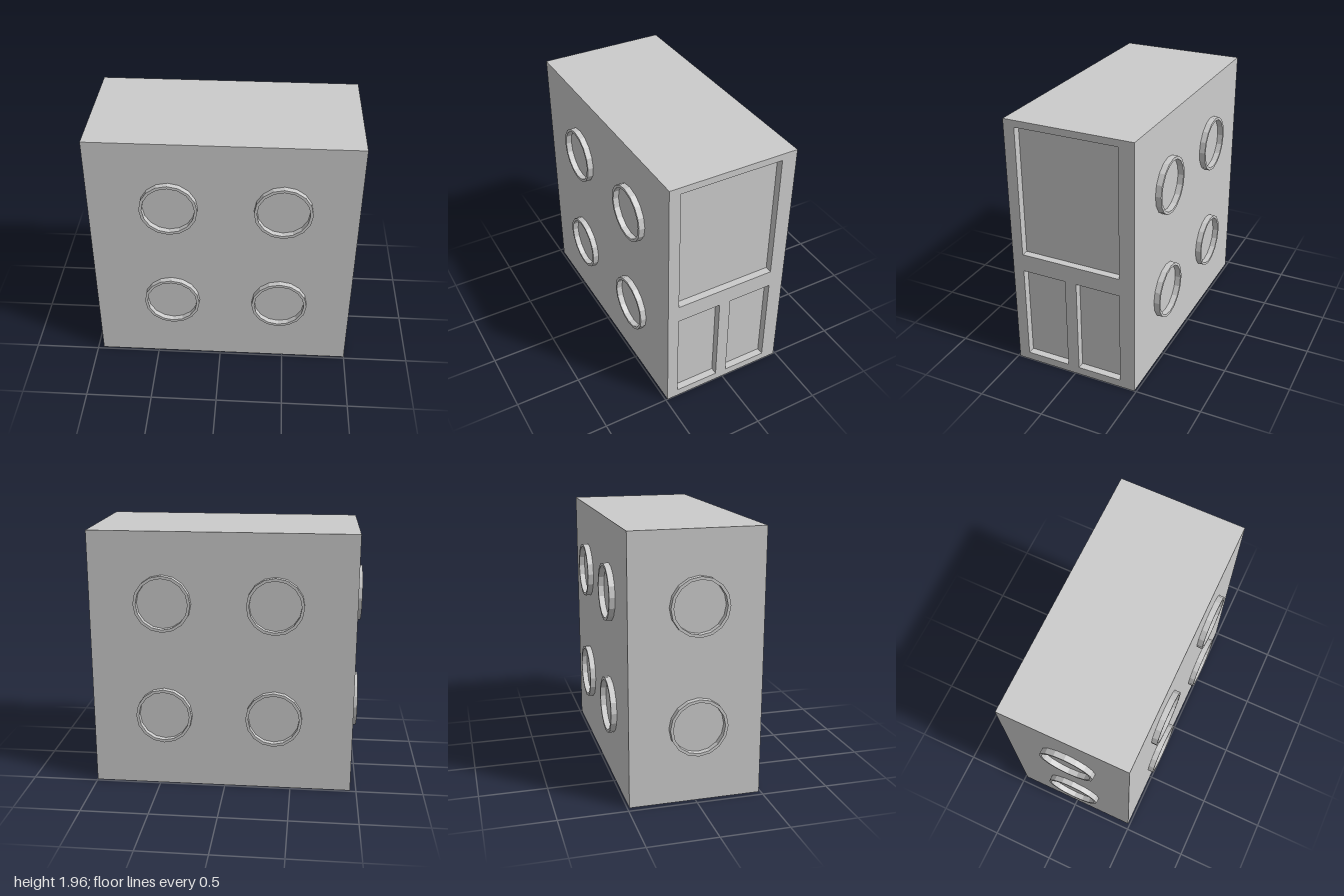
import * as THREE from 'three';

const material = new THREE.MeshStandardMaterial({ color: 0xcccccc, flatShading: true });

// House dimensions
const LEFT = -0.955, RIGHT = 1, HEIGHT = 1.955, HALF_DEPTH = 0.485;
const RECESS = 0.055, RIM = 0.043;

function mesh(name, geometry) {
  const m = new THREE.Mesh(geometry, material);
  m.name = name;
  return m;
}

function rectangle(x0, y0, x1, y1) {
  return [[x0, y0], [x1, y0], [x1, y1], [x0, y1]].map(([x, y]) => new THREE.Vector2(x, y));
}

function polygon(radius, sides) {
  return Array.from({ length: sides }, (_, i) => {
    const a = (i / sides) * Math.PI * 2;
    return new THREE.Vector2(Math.cos(a) * radius, Math.sin(a) * radius);
  });
}

function extrude(outline, holes, depth) {
  const shape = new THREE.Shape(outline);
  for (const hole of holes) shape.holes.push(new THREE.Path(hole));
  return new THREE.ExtrudeGeometry(shape, { depth, bevelEnabled: false });
}

export function createModel() {
  const group = new THREE.Group();

  // Solid block up to the back of the recessed panels
  const length = RIGHT - RECESS - LEFT;
  const body = mesh('body', new THREE.BoxGeometry(length, HEIGHT, HALF_DEPTH * 2));
  body.position.set(LEFT + length / 2, HEIGHT / 2, 0);
  group.add(body);

  // Frame on the +x end: one large opening above two tall ones (shape x runs along -z)
  const frame = mesh('panelFrame', extrude(
    rectangle(-HALF_DEPTH, 0, HALF_DEPTH, HEIGHT),
    [
      rectangle(-0.4, 0.925, 0.37, 1.905),
      rectangle(-0.4, 0.06, -0.06, 0.79),
      rectangle(0.03, 0.06, 0.37, 0.79),
    ],
    RECESS
  ));
  frame.rotation.y = Math.PI / 2;
  frame.position.x = RIGHT - RECESS;
  group.add(frame);

  // Round window rims: two rows on the front, back and -x end
  const rimGeometry = extrude(polygon(0.211, 16), [polygon(0.19, 16)], RIM);
  const addRim = (name, x, y, z, turn) => {
    const rim = mesh(name, rimGeometry);
    rim.position.set(x, y, z);
    rim.rotation.y = turn;
    group.add(rim);
  };
  for (const y of [0.565, 1.43]) {
    for (const x of [-0.368, 0.456]) {
      addRim('frontWindowRim', x, y, HALF_DEPTH, 0);
      addRim('backWindowRim', x, y, -HALF_DEPTH, Math.PI);
    }
    addRim('endWindowRim', LEFT, y, 0.012, -Math.PI / 2);
  }

  return group;
}
